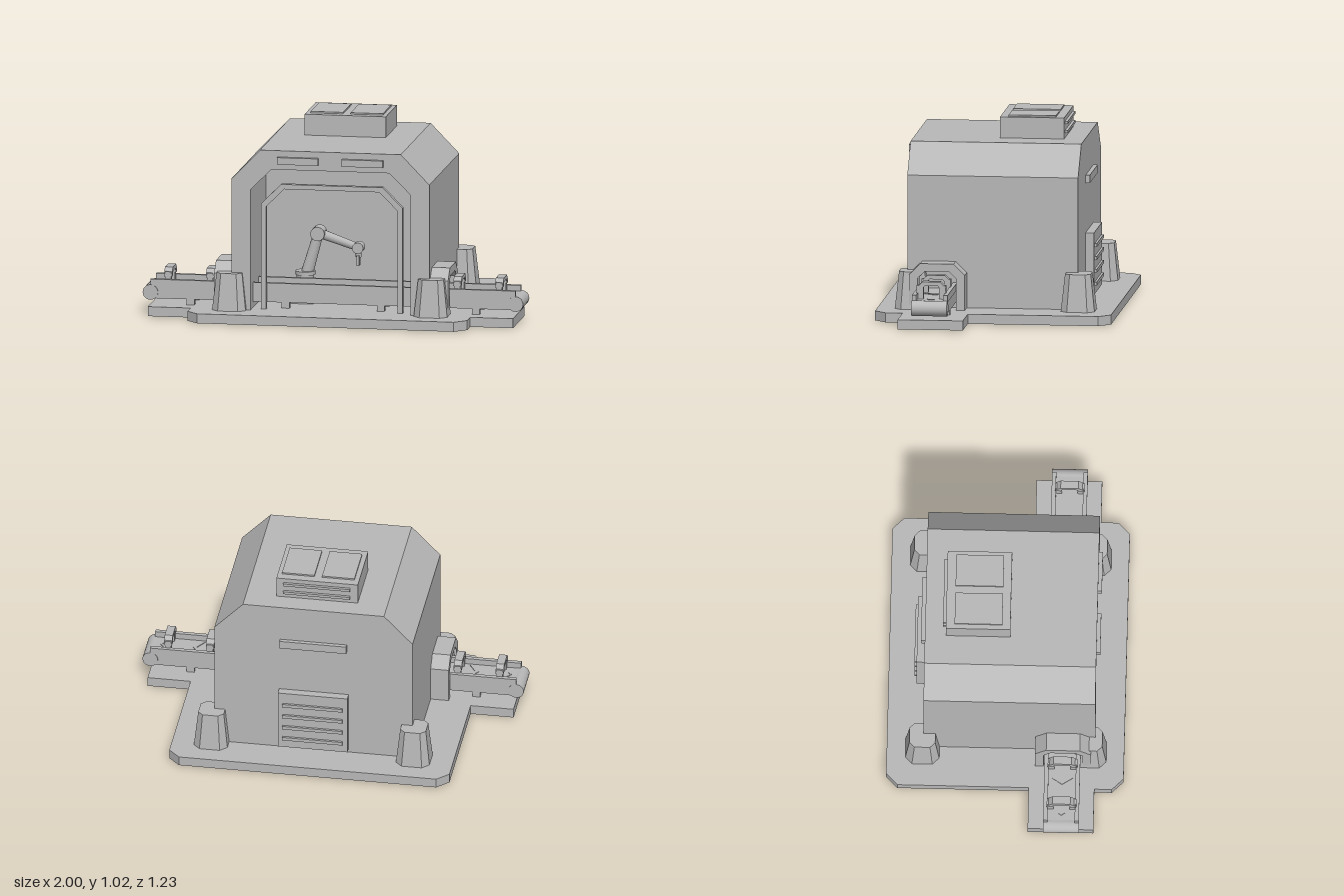
import * as THREE from 'three';

const grey = new THREE.MeshStandardMaterial({ color: 0xb8b8b8 });

export function createModel() {
  const model = new THREE.Group();

  const add = (name, geo, parent = model) => {
    const m = new THREE.Mesh(geo, grey);
    m.name = name;
    parent.add(m);
    return m;
  };
  // box from its min and max on each axis
  const box = (name, x0, x1, y0, y1, z0, z1, parent) =>
    add(name, new THREE.BoxGeometry(x1 - x0, y1 - y0, z1 - z0)
      .translate((x0 + x1) / 2, (y0 + y1) / 2, (z0 + z1) / 2), parent);
  const shapeOf = pts => new THREE.Shape(pts.map(p => new THREE.Vector2(...p)));
  const extrude = (pts, depth) =>
    new THREE.ExtrudeGeometry(shapeOf(pts), { depth, bevelEnabled: false });
  // chamfered doorway outline, from bottom left over the top to bottom right
  const outline = (w, top, cx, cy, y0) => [
    [-w, y0], [-w, top - cy], [-w + cx, top], [w - cx, top], [w, top - cy], [w, y0]];
  const arch = (outer, inner, depth) => extrude([...outer, ...inner.slice().reverse()], depth);
  // cylinder along z
  const drum = (name, x, y, z, r, len, parent) =>
    add(name, new THREE.CylinderGeometry(r, r, len, 24).rotateX(Math.PI / 2).translate(x, y, z), parent);

  // base slab with cut corners and conveyor tongues
  const half = [[0.675, -0.62], [0.735, -0.56], [0.735, 0.12], [0.96, 0.12],
    [0.96, 0.46], [0.735, 0.46], [0.735, 0.55], [0.675, 0.61]];
  const slab = [...half, ...half.map(([x, z]) => [-x, z]).reverse()];
  add('base', extrude(slab.map(([x, z]) => [x, -z]), 0.05).rotateX(-Math.PI / 2).translate(0, 0.005, 0));
  box('undersidePlate', -0.5, 0.5, 0, 0.006, 0.2, 0.39);
  box('undersideStrip', -0.31, -0.07, 0, 0.006, 0.08, 0.13);

  // housing: thick arched shell with a solid rear half
  const innerLine = outline(0.42, 0.80, 0.11, 0.11, 0.05);
  add('housingShell', arch(outline(0.52, 0.90, 0.15, 0.155, 0.05), innerLine, 0.89).translate(0, 0, -0.43));
  add('housingRear', extrude(innerLine, 0.43).translate(0, 0, -0.43));
  add('doorFrame', arch(outline(0.372, 0.715, 0.105, 0.105, 0.05),
    outline(0.345, 0.69, 0.095, 0.095, 0.05), 0.03).translate(0, 0, 0.39));
  for (const s of [-1, 1]) box('frontLamp', s * 0.17 - 0.108, s * 0.17 + 0.108, 0.83, 0.867, 0.45, 0.48);

  // roof unit
  box('roofUnit', -0.215, 0.212, 0.9, 1.01, -0.322, 0.012);
  for (const s of [-1, 1]) box('roofPanel', s * 0.105 - 0.085, s * 0.105 + 0.085, 1.0, 1.018, -0.277, -0.03);
  for (const y of [0.932, 0.98]) box('roofUnitFin', -0.175, 0.175, y - 0.007, y + 0.007, -0.337, -0.31);

  // rear vent and lamp
  box('rearVent', -0.185, 0.18, 0.08, 0.405, -0.474, -0.42);
  for (let i = 0; i < 4; i++) {
    const y = 0.135 + i * 0.067;
    box('ventSlat', -0.16, 0.155, y - 0.009, y + 0.009, -0.486, -0.46);
  }
  box('rearLamp', -0.175, 0.175, 0.665, 0.707, -0.452, -0.42);

  // tapered corner buttresses
  const foot = [[0.088, 0.053], [0.053, 0.088], [-0.053, 0.088], [-0.088, 0.053],
    [-0.088, -0.053], [-0.053, -0.088], [0.053, -0.088], [0.088, -0.053]];
  for (const sx of [-1, 1]) for (const z of [-0.435, 0.43]) {
    const g = extrude(foot, 0.195).rotateX(-Math.PI / 2);
    const p = g.attributes.position;
    for (let i = 0; i < p.count; i++) {
      const k = 1 - 0.24 * p.getY(i) / 0.195;
      p.setX(i, p.getX(i) * k);
      p.setZ(i, p.getZ(i) * k);
    }
    g.computeVertexNormals();
    add('cornerButtress', g.translate(sx * 0.53, 0.055, z));
  }

  // conveyor running through the housing
  const conveyor = new THREE.Group();
  conveyor.name = 'conveyor';
  model.add(conveyor);
  box('belt', -0.96, 0.96, 0.085, 0.155, 0.205, 0.38, conveyor);
  for (const z of [0.2, 0.363]) box('rail', -0.96, 0.96, 0.15, 0.186, z, z + 0.022, conveyor);
  for (const s of [-1, 1]) {
    drum('endRoller', s * 0.96, 0.117, 0.293, 0.04, 0.186, conveyor);

    // portal where the belt enters the housing
    add('portal', arch(outline(0.145, 0.297, 0.058, 0.058, 0.05), outline(0.1, 0.255, 0.035, 0.035, 0.05), 0.11)
      .rotateY(Math.PI / 2).translate(s * 0.56 - 0.055, 0, 0.295));

    // small gates over the belt
    for (const x of [0.65, 0.87]) {
      const cx = s * x;
      for (const z of [0.235, 0.352]) box('gatePost', cx - 0.016, cx + 0.016, 0.15, 0.225, z - 0.018, z + 0.018, conveyor);
      add('gateCap', arch(outline(0.076, 0.245, 0.03, 0.03, 0.2), outline(0.045, 0.225, 0.012, 0.012, 0.2), 0.042)
        .rotateY(Math.PI / 2).translate(cx - 0.021, 0, 0.293), conveyor);
    }
    // direction chevrons
    for (const [x, k] of [[0.75, 1], [0.92, 0.35]]) {
      const pts = [[0, 0], [-0.035, 0.055], [-0.055, 0.055], [-0.02, 0],
        [-0.055, -0.055], [-0.035, -0.055]].map(([a, b]) => [a * k, b * k]);
      const c = add('chevron', extrude(pts, 0.006).rotateX(-Math.PI / 2), conveyor);
      c.rotation.y = s < 0 ? Math.PI : 0;
      c.position.set(s * x, 0.153, 0.293);
    }
    for (const x of [0.25, 0.75]) for (const z of [0.21, 0.35])
      box('conveyorLeg', s * x - 0.02, s * x + 0.02, 0.05, 0.09, z, z + 0.03, conveyor);
  }

  // robot arm behind the belt
  const robot = new THREE.Group();
  robot.name = 'robotArm';
  robot.position.z = 0.13;
  model.add(robot);
  const disc = (name, x, y0, y1, r) =>
    add(name, new THREE.CylinderGeometry(r, r, y1 - y0, 24).translate(x, (y0 + y1) / 2, 0), robot);
  const link = (name, x0, y0, x1, y1, r0, r1) => {
    const m = add(name, new THREE.CylinderGeometry(r1, r0, Math.hypot(x1 - x0, y1 - y0), 16), robot);
    m.position.set((x0 + x1) / 2, (y0 + y1) / 2, 0);
    m.rotation.z = -Math.atan2(x1 - x0, y1 - y0);
  };
  disc('robotFoot', -0.19, 0.05, 0.07, 0.12);
  disc('robotFootStep', -0.19, 0.07, 0.082, 0.085);
  disc('robotPedestal', -0.19, 0.08, 0.19, 0.045);
  disc('robotTurntable', -0.19, 0.19, 0.21, 0.052);
  link('lowerArm', -0.18, 0.2, -0.12, 0.41, 0.032, 0.026);
  drum('elbow', -0.12, 0.41, 0, 0.037, 0.08, robot);
  link('upperArm', -0.12, 0.41, 0.09, 0.34, 0.026, 0.02);
  drum('wrist', 0.09, 0.34, 0, 0.029, 0.06, robot);
  link('gripperStem', 0.09, 0.34, 0.09, 0.29, 0.016, 0.016);
  for (const z of [-0.016, 0.016]) box('gripperFinger', 0.083, 0.097, 0.245, 0.3, z - 0.006, z + 0.006, robot);

  return model;
}
